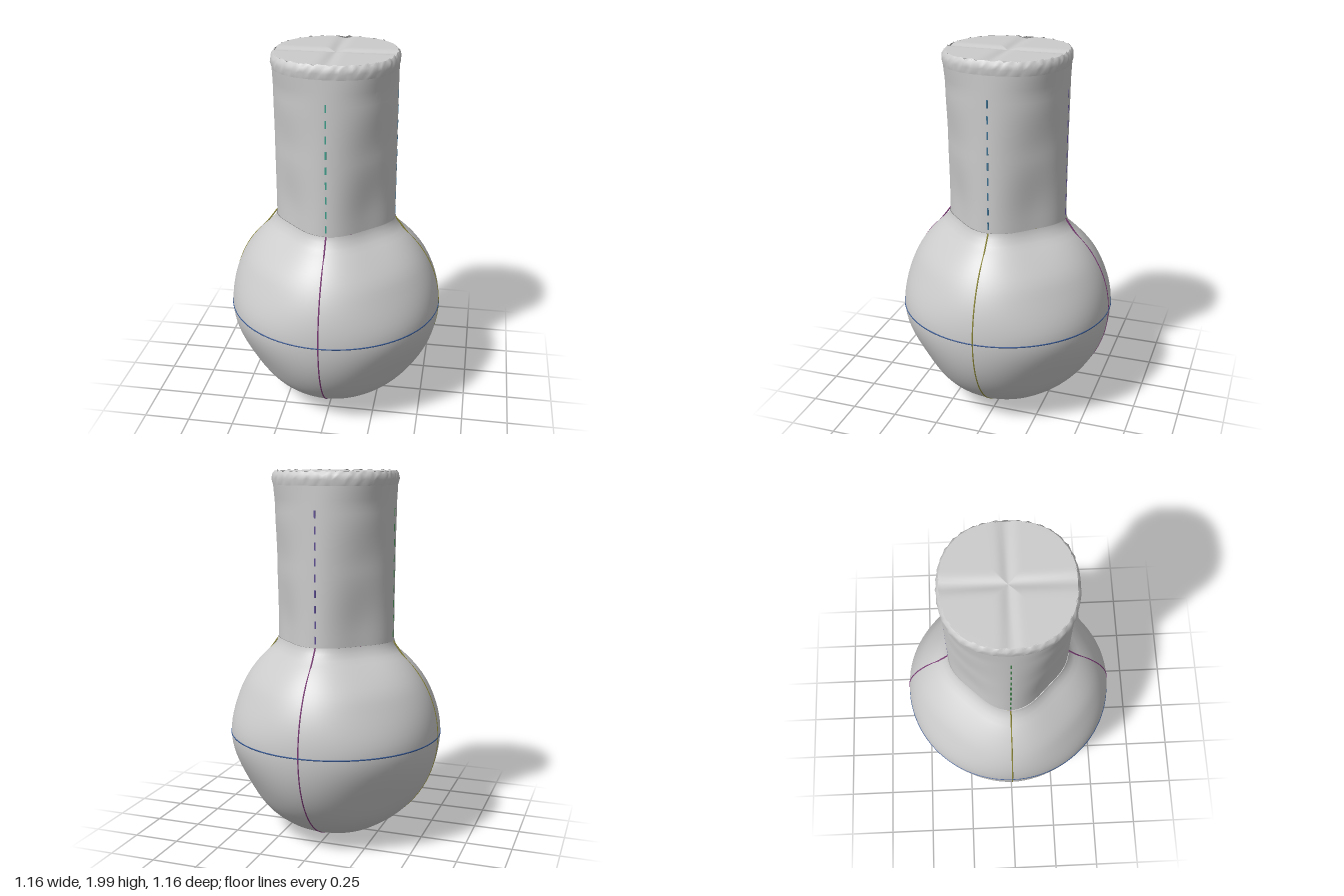
import * as THREE from 'three';

const SEG = 96;
const R = 0.578, CY = 0.585;   // globe radius and centre height
const grey = () => new THREE.MeshStandardMaterial({ color: 0xcccccc, side: THREE.DoubleSide });

// how far the diagonals are drawn in (+) or pushed out (-) at each height
const PINCH = [[0, -0.06], [0.12, 0.02], [0.3, 0.06], [0.585, 0], [0.85, 0.05], [1.06, 0.12],
  [1.2, 0.13], [1.5, 0.07], [1.8, 0], [1.94, -0.05], [2, -0.04]];

function pinch(y) {
  for (let i = 1; i < PINCH.length; i++) {
    const [y0, k0] = PINCH[i - 1], [y1, k1] = PINCH[i];
    if (y <= y1) return THREE.MathUtils.lerp(k0, k1, THREE.MathUtils.smoothstep(y, y0, y1));
  }
  return PINCH[PINCH.length - 1][1];
}

// rings of [radius, height], closed around the axis, adjusted by a rule
function rings(profile, rule) {
  const pos = [], index = [];
  profile.forEach(([r, y], j) => {
    for (let i = 0; i < SEG; i++) {
      const a = (i / SEG) * Math.PI * 2;
      const rr = r * (1 - pinch(y) * Math.sin(2 * a) ** 2);
      const p = new THREE.Vector3(Math.sin(a) * rr, y, Math.cos(a) * rr);
      if (rule) rule(p, i, j);
      pos.push(p.x, p.y, p.z);
      if (j === 0) continue;
      const n = (i + 1) % SEG, lo = (j - 1) * SEG, hi = j * SEG;
      index.push(lo + i, lo + n, hi + n, lo + i, hi + n, hi + i);
    }
  });
  const g = new THREE.BufferGeometry();
  g.setAttribute('position', new THREE.Float32BufferAttribute(pos, 3));
  g.setIndex(index);
  g.computeVertexNormals();
  return g;
}

// uneven but repeatable offset for the ragged rim
const jitter = (i, j) => Math.sin(i * 12.9 + j * 7.3) * Math.sin(i * 4.1 + j * 2.7);

export function createModel() {
  const group = new THREE.Group();
  const add = (name, geometry, material = grey()) => {
    const mesh = new THREE.Mesh(geometry, material);
    mesh.name = name;
    group.add(mesh);
  };

  // globe, from the bottom pole up to the neck
  const globe = [];
  for (let i = 0; i <= 40; i++) {
    const a = -Math.PI / 2 + (i / 40) * (Math.PI / 2 + 0.9);
    globe.push([Math.max(0.0005, R * Math.cos(a)), 0.007 + CY * (1 + Math.sin(a)) * 0.99]);
  }
  globe.push([0.333, 1.07], [0.325, 1.1]);
  add('globe', rings(globe));

  // neck
  const neck = [];
  for (let i = 0; i <= 24; i++) neck.push([0.322, 1.1 + (i / 24) * 0.82]);
  add('neck', rings(neck));

  // ragged rim
  add('rim', rings([[0.322, 1.92], [0.327, 1.95], [0.325, 1.975], [0.312, 1.99]], (p, i, j) => {
    if (j === 0) return;
    const s = 1 + 0.012 * jitter(i, j);
    p.x *= s;
    p.z *= s;
    p.y += 0.006 * jitter(i + 5, j);
  }));

  // cap with a shallow cross-shaped groove
  const cap = [];
  for (let i = 0; i <= 16; i++) cap.push([Math.max(0.0005, 0.315 * (1 - i / 16)), 1.99]);
  add('cap', rings(cap, (p) => {
    const d = Math.min(Math.abs(p.x), Math.abs(p.z));
    p.y -= 0.012 * Math.exp(-((d / 0.03) ** 2));
  }));

  // thin coloured seams
  const colour = (c) => new THREE.MeshStandardMaterial({ color: c });
  const equator = new THREE.TorusGeometry(R - 0.001, 0.004, 6, 96).rotateX(Math.PI / 2);
  add('equatorSeam', equator.translate(0, CY, 0), colour(0x33558f));

  const neckColours = [0x3fa08c, 0x3d6f8f, 0x5a4a90, 0x3f7f4a];
  for (let q = 0; q < 4; q++) {
    const a = q * Math.PI / 2;
    const arc = new THREE.CatmullRomCurve3(
      globe.filter((_, i) => i % 3 === 0).map(([r, y]) => new THREE.Vector3(0, Math.max(y, 0.004), r - 0.001)));
    add('globeSeam', new THREE.TubeGeometry(arc, 48, 0.004, 6).rotateY(a),
      colour(q % 2 ? 0x8f8a3a : 0x7d3a78));
    // dashes up the neck
    for (let i = 0; i < 9; i++) {
      const dash = new THREE.BoxGeometry(0.008, 0.04, 0.006);
      add('neckSeam', dash.translate(0, 1.14 + i * 0.08, 0.321).rotateY(a), colour(neckColours[q]));
    }
  }
  return group;
}
